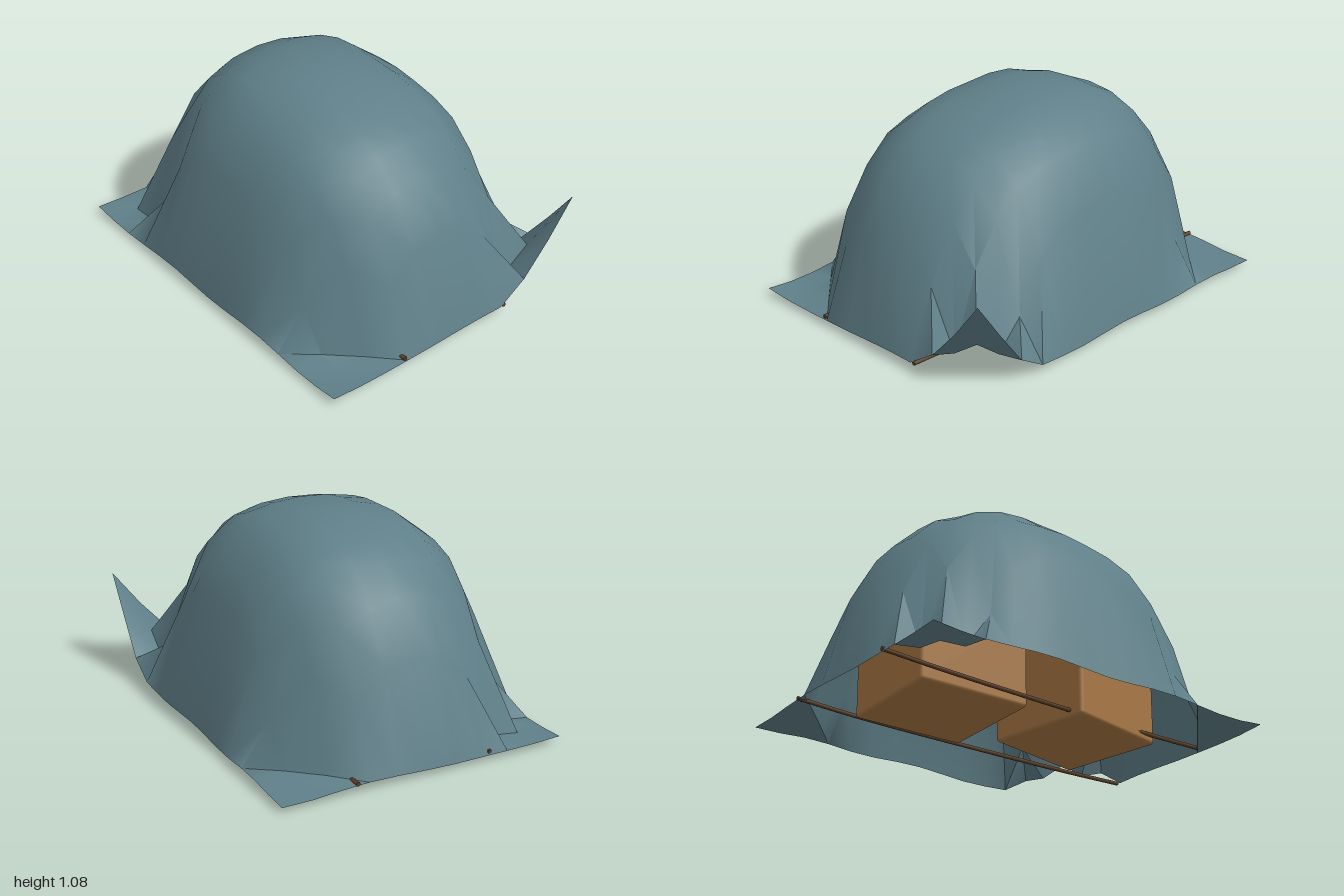
import * as THREE from 'three';
import { toCreasedNormals } from 'three/addons/utils/BufferGeometryUtils.js';
import { RoundedBoxGeometry } from 'three/addons/geometries/RoundedBoxGeometry.js';

const tarpBlue = new THREE.MeshStandardMaterial({ color: 0x5f7f88, side: THREE.DoubleSide });
tarpBlue.name = 'tarpBlue';
const crateWood = new THREE.MeshStandardMaterial({ color: 0xa87845 });
crateWood.name = 'crateWood';
const ropeBrown = new THREE.MeshStandardMaterial({ color: 0x5e4026 });
ropeBrown.name = 'ropeBrown';

// Cloth heights over one quarter: rows go out along x, columns out along z
const drape = [
  [1.08, 1.07, 1.03, 0.92, 0.67, 0.04],
  [1.07, 1.06, 1.03, 0.91, 0.67, 0.04],
  [1.05, 1.04, 1.01, 0.89, 0.63, 0.04],
  [1.01, 1.00, 0.96, 0.84, 0.52, 0.04],
  [0.945, 0.93, 0.87, 0.71, 0.25, 0.04],
  [0.81, 0.79, 0.71, 0.50, 0.05, 0.035],
  [0.575, 0.54, 0.40, 0.05, 0.03, 0.03],
  [0.04, 0.04, 0.04, 0.035, 0.03, 0.035],
];

// Lifted back corner: 'column,row' steps from the centre
const lifted = {
  '7,-5': 0.52, '7,-4': 0.32, '6,-5': 0.32, '6,-4': 0.21,
  '7,-3': 0.15, '5,-5': 0.13, '6,-3': 0.1, '5,-4': 0.1,
};

function add(parent, name, geometry, material) {
  const mesh = new THREE.Mesh(geometry, material);
  mesh.name = name;
  parent.add(mesh);
  return mesh;
}

function tarpGeometry() {
  const geo = new THREE.PlaneGeometry(2, 1.54, 14, 10).rotateX(-Math.PI / 2);
  const p = geo.attributes.position;
  for (let k = 0; k < p.count; k++) {
    const x = p.getX(k), z = p.getZ(k);
    const i = Math.round(x * 7), j = Math.round(z / 0.154);
    let y = drape[Math.abs(i)][Math.abs(j)];
    // slight lean of the crown, slight waves in the hem
    if (y > 0.2) y -= 0.015 * Math.sin(Math.PI * x) * y;
    else y += 0.008 * Math.sin(i * 1.3 + j * 0.9);
    p.setY(k, lifted[`${i},${j}`] ?? y);
  }
  return toCreasedNormals(geo, 0.9);
}

export function createModel() {
  const model = new THREE.Group();
  model.name = 'coveredCrates';

  add(model, 'tarp', tarpGeometry(), tarpBlue);

  // Crates: name, width, height, depth, x, base y, z, turn
  const crates = [
    ['leftCrate', 0.57, 0.46, 0.57, 0.36, 0, 0.09, 0.18],
    ['rightCrate', 0.61, 0.5, 0.6, -0.415, 0, 0.005, -0.04],
    ['topCrate', 0.5, 0.48, 0.46, -0.05, 0.5, 0, 0.12],
  ];
  for (const [name, w, h, d, x, y, z, turn] of crates) {
    const crate = add(model, name, new RoundedBoxGeometry(w, h, d, 2, 0.018), crateWood);
    crate.position.set(x, y + h / 2, z);
    crate.rotation.y = turn;
  }

  // Ropes running under the cloth from side to side
  for (const [name, zRight, zLeft] of [['frontRope', 0.36, 0.325], ['backRope', -0.37, -0.33]]) {
    const path = new THREE.CatmullRomCurve3([
      new THREE.Vector3(-1, 0.052, zRight),
      new THREE.Vector3(-0.6, 0.04, zRight * 0.99),
      new THREE.Vector3(0.6, 0.04, zLeft * 1.02),
      new THREE.Vector3(1, 0.05, zLeft),
    ]);
    add(model, name, new THREE.TubeGeometry(path, 24, 0.011, 8), ropeBrown);
    // closed ends
    for (const [x, y, z] of [[-1, 0.052, zRight], [1, 0.05, zLeft]]) {
      const cap = add(model, name + 'End', new THREE.CircleGeometry(0.011, 8), ropeBrown);
      cap.position.set(x, y, z);
      cap.rotation.y = Math.sign(x) * Math.PI / 2;
    }
  }
  return model;
}
